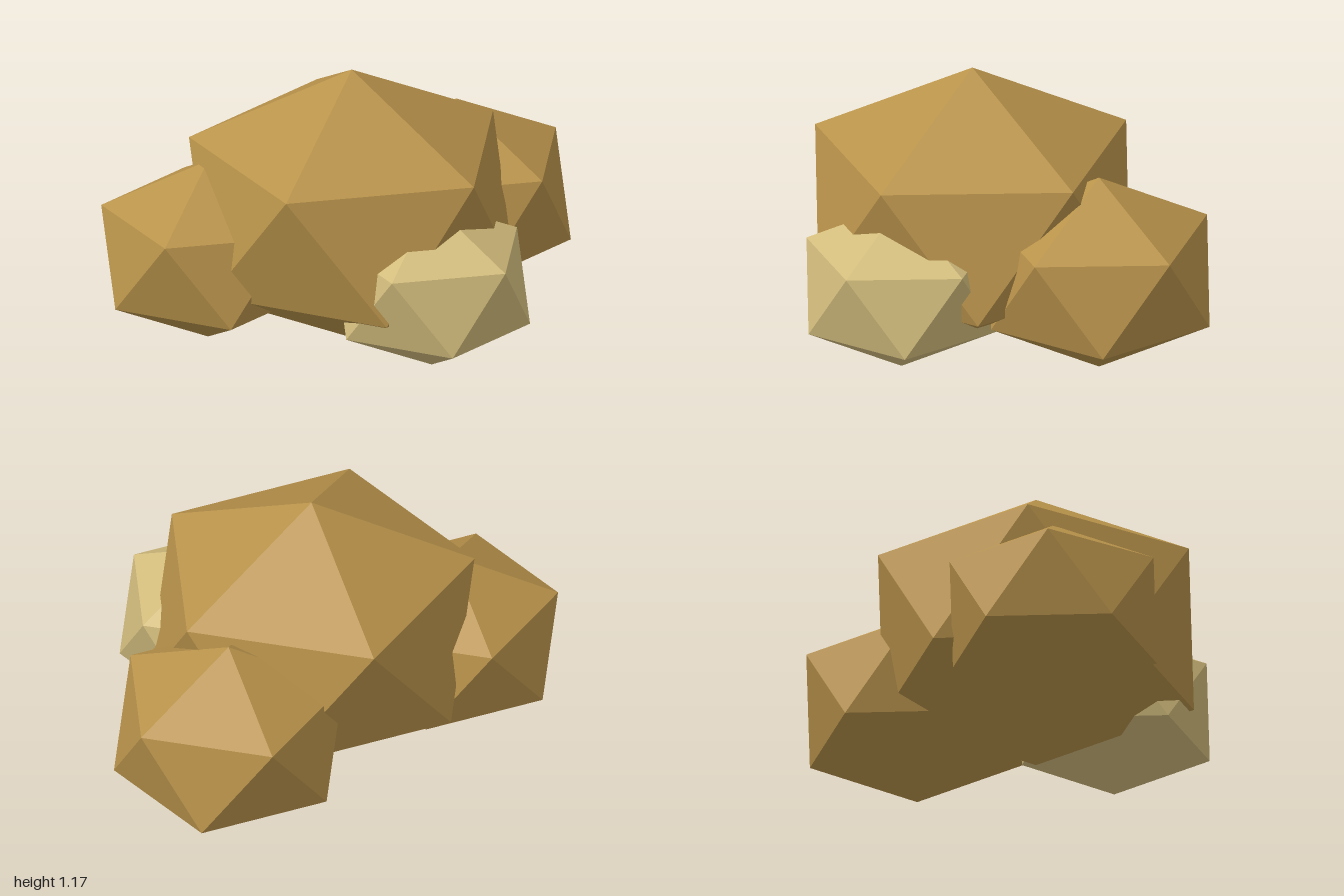
import * as THREE from 'three';

// Icosahedral boulder standing on a corner, squashed to 0.8 of its width
function boulder(name, radius, position, color) {
  const geometry = new THREE.IcosahedronGeometry(radius, 0);
  // turn one corner straight up, with an upper-ring corner towards +x
  geometry.rotateZ(-Math.atan(2 / (1 + Math.sqrt(5))));
  geometry.scale(1, 0.8, 1);
  const material = new THREE.MeshStandardMaterial({ color, flatShading: true });
  const mesh = new THREE.Mesh(geometry, material);
  mesh.name = name;
  mesh.position.set(...position);
  return mesh;
}

export function createModel() {
  const group = new THREE.Group();
  group.name = 'boulderCluster';
  const brown = 0xb8924a;
  const sand = 0xd2bc7c;
  group.add(
    boulder('mainBoulder', 0.733, [-0.055, 0.592, -0.08], brown),
    boulder('leftBoulder', 0.515, [0.537, 0.439, -0.262], brown),
    boulder('rightBoulder', 0.481, [-0.573, 0.413, -0.335], brown),
    boulder('frontBoulder', 0.443, [0.055, 0.387, 0.366], sand),
  );
  return group;
}
